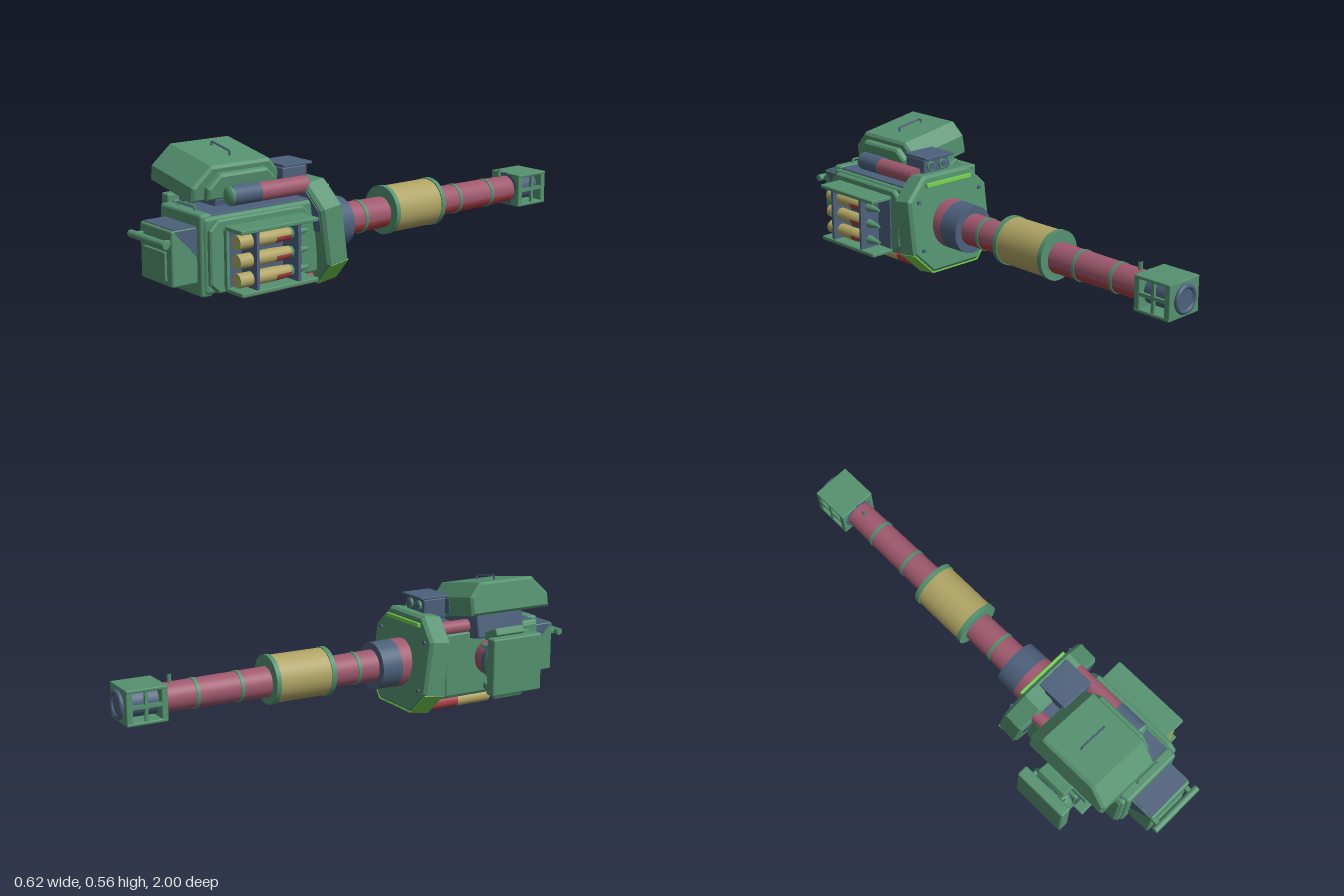
import * as THREE from 'three';
import { RoundedBoxGeometry } from 'three/addons/geometries/RoundedBoxGeometry.js';

const paint = (name, color) => Object.assign(new THREE.MeshStandardMaterial({ color }), { name });

export function createModel() {
  const green = paint('green', 0x54916f), blue = paint('slateBlue', 0x4c607b);
  const mauve = paint('mauve', 0x9f586e), red = paint('red', 0xa84044);
  const tan = paint('tan', 0xb0a464), lime = paint('lime', 0x70c84c);
  const model = new THREE.Group();
  model.name = 'autocannon';

  const add = (name, geo, mat, parent = model) => {
    const m = new THREE.Mesh(geo, mat);
    m.name = name;
    parent.add(m);
    return m;
  };
  // box given by its limits, with softened edges
  const box = (name, mat, x0, x1, y0, y1, z0, z1, r = 0.006, parent = model) => {
    const g = r ? new RoundedBoxGeometry(x1 - x0, y1 - y0, z1 - z0, 2, r)
      : new THREE.BoxGeometry(x1 - x0, y1 - y0, z1 - z0);
    g.translate((x0 + x1) / 2, (y0 + y1) / 2, (z0 + z1) / 2);
    return add(name, g, mat, parent);
  };
  // cylinder along z from z0 to z1, radii r0 at z0 and r1 at z1; angle 0 points down, then toward +x
  const tubeZ = (name, mat, x, y, z0, z1, r0, r1 = r0, start = 0, sweep = Math.PI * 2, parent = model) => {
    const open = sweep < 6;
    const g = new THREE.CylinderGeometry(r1, r0, z1 - z0, 32, 1, open, start, sweep);
    g.rotateX(Math.PI / 2).translate(x, y, (z0 + z1) / 2);
    return add(name, g, mat, parent);
  };
  // cylinder along x
  const tubeX = (name, mat, x0, x1, y, z, r) => {
    const g = new THREE.CylinderGeometry(r, r, x1 - x0, 32);
    g.rotateZ(Math.PI / 2).translate((x0 + x1) / 2, y, z);
    return add(name, g, mat);
  };
  // rod through points
  const rod = (name, mat, pts, r, parent = model) => {
    const path = new THREE.CurvePath();
    const v = pts.map(p => new THREE.Vector3(...p));
    for (let i = 1; i < v.length; i++) path.add(new THREE.LineCurve3(v[i - 1], v[i]));
    return add(name, new THREE.TubeGeometry(path, 24, r, 8), mat, parent);
  };
  const extrude = (pts, depth, bevel) => {
    const s = new THREE.Shape(pts.map(p => new THREE.Vector2(...p)));
    return new THREE.ExtrudeGeometry(s, {
      depth: depth - 2 * bevel, bevelEnabled: bevel > 0, bevelSize: bevel,
      bevelThickness: bevel, bevelOffset: -bevel, bevelSegments: 1,
    }).translate(0, 0, bevel);
  };
  // (z, y) outline extruded along x from x0
  const extrudeX = (pts, x0, depth, bevel) =>
    extrude(pts.map(([z, y]) => [-z, y]), depth, bevel).rotateY(Math.PI / 2).translate(x0, 0, 0);
  const octagon = (cx, cy, w, h, c) => [
    [cx - w + c, cy - h], [cx + w - c, cy - h], [cx + w, cy - h + c], [cx + w, cy + h - c],
    [cx + w - c, cy + h], [cx - w + c, cy + h], [cx - w, cy + h - c], [cx - w, cy - h + c]];

  // barrel, in tapering lengths with a red underside on the left
  const bx = 0.04, by = 0.205;
  [[0.02, 0.22, 0.065, 0.067], [-0.12, 0.02, 0.063, 0.065], [-0.5, -0.36, 0.06, 0.062],
    [-0.685, -0.5, 0.058, 0.06], [-0.84, -0.685, 0.056, 0.058]].forEach(([z0, z1, r0, r1]) => {
    tubeZ('barrel', mauve, bx, by, z0, z1, r0, r1, 1.3, Math.PI * 2 - 1.6);
    tubeZ('barrelUnderside', red, bx, by, z0, z1, r0, r1, -0.3, 1.6);
  });
  [[0.02, 0.068], [-0.5, 0.063], [-0.685, 0.061]].forEach(([z, r]) =>
    tubeZ('barrelRing', green, bx, by, z - 0.007, z + 0.007, r));
  tubeZ('muzzleNeck', blue, bx, by, -0.84, -0.82, 0.07);
  tubeZ('barrelSleeve', tan, bx, 0.213, -0.36, -0.12, 0.096);
  for (const z of [-0.363, -0.117]) tubeZ('sleeveFlange', green, bx, 0.213, z - 0.01, z + 0.01, 0.1);
  // collar with a tan underside and a mauve root
  tubeZ('barrelCollar', blue, bx, 0.203, 0.11, 0.2, 0.098, 0.1, 0.5, Math.PI * 2 - 1);
  tubeZ('collarUnderside', tan, bx, 0.203, 0.11, 0.2, 0.098, 0.1, -0.5, 1);
  add('collarFace', new THREE.RingGeometry(0.06, 0.098, 32).rotateY(Math.PI).translate(bx, 0.203, 0.11), blue);
  tubeZ('collarRoot', mauve, bx, 0.203, 0.2, 0.28, 0.1);
  rod('frontSightPost', green, [[bx, 0.25, -0.78], [bx, 0.295, -0.78]], 0.009);

  // muzzle brake: open cage around a core
  const my = 0.205;
  for (const y of [0.135, 0.262]) box('muzzlePlate', green, -0.043, 0.122, y, y + 0.013, -0.985, -0.82, 0.004);
  for (const z of [-0.985, -0.845]) box('muzzleWall', green, -0.042, 0.121, 0.137, 0.273, z, z + 0.025, 0.004);
  for (const x of [-0.041, 0.108]) {
    box('muzzleSideBar', green, x, x + 0.012, my - 0.007, my + 0.007, -0.97, -0.83, 0);
    box('muzzlePost', green, x, x + 0.012, 0.14, 0.27, -0.912, -0.9, 0);
  }
  tubeZ('muzzleCore', blue, bx, my, -0.975, -0.84, 0.055);
  add('muzzleRing', new THREE.TorusGeometry(0.048, 0.01, 8, 32).translate(bx, my, -0.99), blue);
  tubeZ('muzzleBore', blue, bx, my, -0.992, -0.98, 0.042);

  // leaning octagonal shield
  const shield = new THREE.Group();
  shield.name = 'shield';
  shield.position.set(0.037, 0.212, 0.295);
  shield.rotation.x = 0.137;
  model.add(shield);
  add('shieldPlate', extrude(octagon(0, 0, 0.212, 0.2, 0.09), 0.1, 0.012).translate(0, 0, -0.05), green, shield);
  const skirt = [[-0.212, -0.11], [-0.122, -0.2], [0.122, -0.2], [0.212, -0.11],
    [0.208, -0.106], [0.12, -0.195], [-0.12, -0.195], [-0.208, -0.106]];
  add('shieldSkirt', extrude(skirt, 0.086, 0).translate(0, -0.003, -0.046), lime, shield);
  add('shieldInnerPanel', extrude([[-0.19, 0.02], [0.19, 0.02], [0.19, 0.105], [0.115, 0.18],
    [-0.115, 0.18], [-0.19, 0.105]], 0.005, 0).translate(0, 0, 0.049), blue, shield);
  box('shieldTopStrip', lime, -0.12, 0.12, 0.152, 0.17, -0.064, -0.048, 0.003, shield);
  for (const x of [-0.165, 0.165]) for (const y of [-0.1, 0.1])
    tubeZ('shieldBolt', blue, x, y, -0.058, -0.045, 0.008, 0.008, 0, Math.PI * 2, shield);

  // receiver body
  box('receiver', green, -0.115, 0.185, 0.06, 0.345, 0.33, 0.84, 0.015);
  box('receiverTop', blue, -0.1, 0.17, 0.34, 0.351, 0.3, 0.82, 0.003);
  box('rearPlate', green, -0.095, 0.175, 0.05, 0.356, 0.8, 0.85, 0.012);
  box('rightFlange', green, -0.12, -0.09, 0.07, 0.333, 0.37, 0.83, 0.008);
  add('leftPanel', extrudeX(octagon(0.605, 0.2, 0.225, 0.135, 0.035), 0.18, 0.026, 0.006), green);

  // breech block with hatch and bar
  box('breech', green, -0.065, 0.147, 0.1, 0.308, 0.84, 0.955, 0.008);
  box('breechTop', blue, -0.06, 0.142, 0.304, 0.311, 0.85, 0.945, 0);
  for (const x of [-0.067, 0.145])
    add('breechCheek', extrudeX([[0.85, 0.304], [0.945, 0.304], [0.85, 0.2]], x, 0.004, 0), blue);
  box('breechHatch', green, -0.032, 0.112, 0.12, 0.227, 0.95, 0.964, 0.003);
  tubeX('breechBar', green, -0.08, 0.16, 0.265, 0.985, 0.0145);
  for (const x of [-0.05, 0.13]) box('barBracket', green, x - 0.01, x + 0.01, 0.255, 0.275, 0.945, 0.985, 0.003);
  rod('topHandle', green, [[-0.012, 0.35, 0.82], [-0.012, 0.371, 0.82], [0.095, 0.371, 0.82], [0.095, 0.35, 0.82]], 0.005);
  rod('cable', blue, [[-0.085, 0.34, 0.78], [-0.058, 0.372, 0.76]], 0.008);

  // tubes below the receiver
  for (const x of [-0.04, 0.12]) {
    tubeZ('lowerTube', tan, x, 0.028, 0.47, 0.63, 0.028);
    tubeZ('lowerTubeSleeve', red, x, 0.028, 0.3, 0.47, 0.028);
    tubeZ('lowerTubeCap', green, x, 0.028, 0.628, 0.635, 0.0255);
  }

  // shell rack on the left
  for (const y of [0.067, 0.295]) box('rackPlate', green, 0.205, 0.31, y, y + 0.016, 0.425, 0.77, 0.004);
  box('rackBack', blue, 0.2, 0.212, 0.083, 0.295, 0.43, 0.77, 0);
  box('rackEdge', green, 0.203, 0.223, 0.08, 0.298, 0.762, 0.774, 0);
  for (const z of [0.505, 0.69]) box('rackDivider', blue, 0.21, 0.306, 0.083, 0.296, z, z + 0.012, 0);
  for (const y of [0.118, 0.188, 0.258]) {
    tubeZ('shellCase', tan, 0.262, y, 0.6, 0.76, 0.027);
    tubeZ('shellUpper', tan, 0.262, y, 0.53, 0.6, 0.023, 0.027, 1.6, Math.PI * 2 - 1.6);
    tubeZ('shellBand', red, 0.262, y, 0.53, 0.6, 0.023, 0.027, 0, 1.6);
    tubeZ('shellTip', green, 0.262, y, 0.44, 0.53, 0.006, 0.023);
    // painted crescent on the shell base
    const crescent = new THREE.Shape().absarc(0, 0, 0.026, -1.5, 1.1, false);
    crescent.quadraticCurveTo(0.024, -0.003, 0.002, -0.026);
    add('shellMark', new THREE.ShapeGeometry(crescent).translate(0.262, y, 0.761), lime);
  }

  // drum feed on the right
  const dz = 0.59, dy = 0.22;
  box('drumGuard', green, -0.311, -0.262, 0.104, 0.341, 0.47, 0.71, 0.008);
  tubeX('drumDisc', green, -0.253, -0.224, dy, dz, 0.105);
  tubeX('drumHub', blue, -0.265, -0.18, dy, dz, 0.088);
  tubeX('drumCore', mauve, -0.18, -0.11, dy, dz, 0.078);
  box('drumGearbox', green, -0.212, -0.125, 0.16, 0.284, 0.53, 0.69, 0.012);
  box('gearboxPatch', blue, -0.205, -0.182, 0.185, 0.262, 0.685, 0.692, 0);
  box('gearboxColumn', green, -0.132, -0.116, 0.135, 0.272, 0.6, 0.705, 0.004);
  for (const s of [-1, 1]) {
    for (const z of [0.51, 0.67]) tubeX('guardPin', green, -0.27, -0.245, dy + s * 0.078, z, 0.01);
    const arm = box('drumArm', green, -0.045, 0.045, -0.016, 0.016, -0.07, 0.07, 0.006);
    arm.position.set(-0.212, dy + s * 0.118, dz);
    arm.rotation.z = -s * 0.4;
    const mount = box('armMount', green, -0.045, 0.045, -0.012, 0.012, -0.07, 0.07, 0.005);
    mount.position.set(-0.158, dy + s * 0.093, 0.66);
    mount.rotation.z = -s * 0.2;
  }

  // tilted hood assembly above the receiver
  const top = new THREE.Group();
  top.name = 'hoodAssembly';
  top.position.set(-0.066, 0.464, 0.615);
  top.rotation.z = -0.172;
  model.add(top);
  const hood = [[0.2, -0.066], [0.2, -0.01], [0.125, 0.066], [-0.135, 0.066], [-0.185, 0.01], [-0.185, -0.066]];
  add('hood', extrudeX(hood, -0.143, 0.29, 0.01), green, top);
  add('hoodEnd', extrudeX([[0.15, -0.055], [0.15, -0.01], [0.1, 0.04], [-0.11, 0.04], [-0.15, 0], [-0.15, -0.055]],
    0.13, 0.045, 0.008), green, top);
  box('hoodBackPatch', blue, 0.02, 0.135, -0.055, 0.004, -0.188, -0.182, 0, top);
  rod('hoodHandle', blue, [[-0.06, 0.06, -0.01], [-0.06, 0.083, -0.01], [0.06, 0.083, -0.01], [0.06, 0.06, -0.01]], 0.004, top);
  box('hoodBase', blue, -0.09, 0.15, -0.165, -0.06, -0.13, 0.1, 0.008, top);

  // recoil tubes beside the hood
  tubeZ('recoilTubeRear', blue, 0.13, 0.397, 0.57, 0.69, 0.037);
  add('recoilTubeCap', new THREE.SphereGeometry(0.037, 24, 12).scale(1, 1, 0.5).translate(0.13, 0.397, 0.69), green);
  tubeZ('recoilTube', mauve, 0.13, 0.395, 0.35, 0.57, 0.035);
  tubeZ('rightRecoilTube', mauve, -0.095, 0.355, 0.34, 0.5, 0.028);

  // twin lens sight over the shield
  box('sight', blue, -0.02, 0.112, 0.38, 0.466, 0.325, 0.44, 0.006);
  box('sightVisor', blue, -0.03, 0.118, 0.467, 0.478, 0.305, 0.44, 0.003);
  for (const x of [0.015, 0.078]) {
    tubeZ('sightLensRim', green, x, 0.437, 0.316, 0.33, 0.02);
    tubeZ('sightLens', blue, x, 0.437, 0.313, 0.318, 0.014);
  }
  return model;
}
